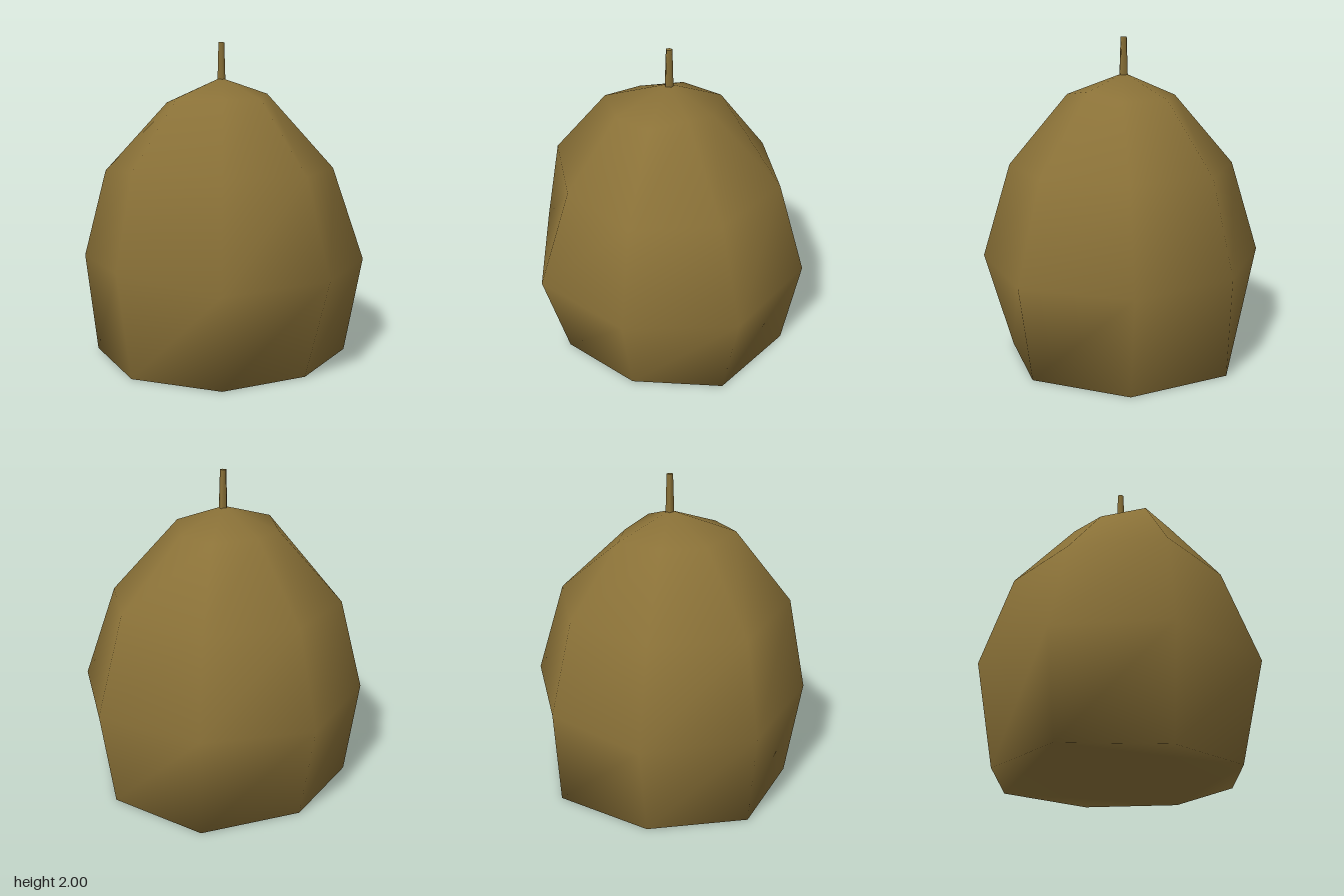
import * as THREE from 'three';

const SIDES = 8;

// Each ring: radius and height at eight compass points, from +x towards +z
const RINGS = [
  { r: [0.795, 0.70, 0.73, 0.77, 0.835, 0.80, 0.855, 0.83],
    y: [0, 0, 0, 0, 0, 0, 0, 0] },
  { r: [0.91, 0.88, 0.88, 0.87, 0.91, 0.91, 0.88, 0.91],
    y: [0.61, 0.62, 0.60, 0.66, 0.63, 0.62, 0.62, 0.62] },
  { r: [0.70, 0.69, 0.66, 0.74, 0.76, 0.74, 0.725, 0.73],
    y: [1.21, 1.21, 1.22, 1.24, 1.19, 1.20, 1.20, 1.22] },
  { r: [0.275, 0.32, 0.325, 0.39, 0.36, 0.36, 0.385, 0.30],
    y: [1.68, 1.65, 1.65, 1.66, 1.625, 1.64, 1.635, 1.63] },
];

// Irregular eight-sided mound lofted through the rings to a single peak
function moundGeometry() {
  const pos = [];
  const index = [];
  RINGS.forEach(({ r, y }, k) => {
    for (let i = 0; i < SIDES; i++) {
      const a = (i / SIDES) * Math.PI * 2;
      const shift = k === 1 ? -0.02 * Math.abs(Math.cos(a)) : 0;
      pos.push(Math.cos(a) * r[i], y[i], Math.sin(a) * r[i] + shift);
    }
  });
  const peak = pos.length / 3;
  pos.push(-0.02, 1.78, -0.03);

  for (let i = 0; i < SIDES; i++) {
    const j = (i + 1) % SIDES;
    for (let k = 0; k < RINGS.length - 1; k++) {
      const a = k * SIDES + i, b = k * SIDES + j;
      index.push(a, a + SIDES, b, b, a + SIDES, b + SIDES);
    }
    const top = (RINGS.length - 1) * SIDES;
    index.push(top + i, peak, top + j);
  }
  // Underside: four corner triangles around a central square
  for (let i = 0; i < SIDES; i += 2) index.push(i, i + 1, (i + 2) % SIDES);
  index.push(0, 2, 4, 0, 4, 6);

  const g = new THREE.BufferGeometry();
  g.setAttribute('position', new THREE.Float32BufferAttribute(pos, 3));
  g.setIndex(index);
  g.computeVertexNormals();
  return g;
}

export function createModel() {
  const group = new THREE.Group();
  group.name = 'haystack';
  const straw = new THREE.MeshStandardMaterial({ color: 0x8b7238 });
  straw.name = 'straw brown';

  const mound = new THREE.Mesh(moundGeometry(), straw);
  mound.name = 'mound';
  group.add(mound);

  // Five-sided pole poking out of the peak
  const pole = new THREE.Mesh(new THREE.CylinderGeometry(0.02, 0.028, 0.25, 5), straw);
  pole.name = 'pole';
  pole.position.set(-0.017, 1.875, -0.03);
  pole.rotation.y = Math.PI / 2;
  group.add(pole);

  return group;
}
